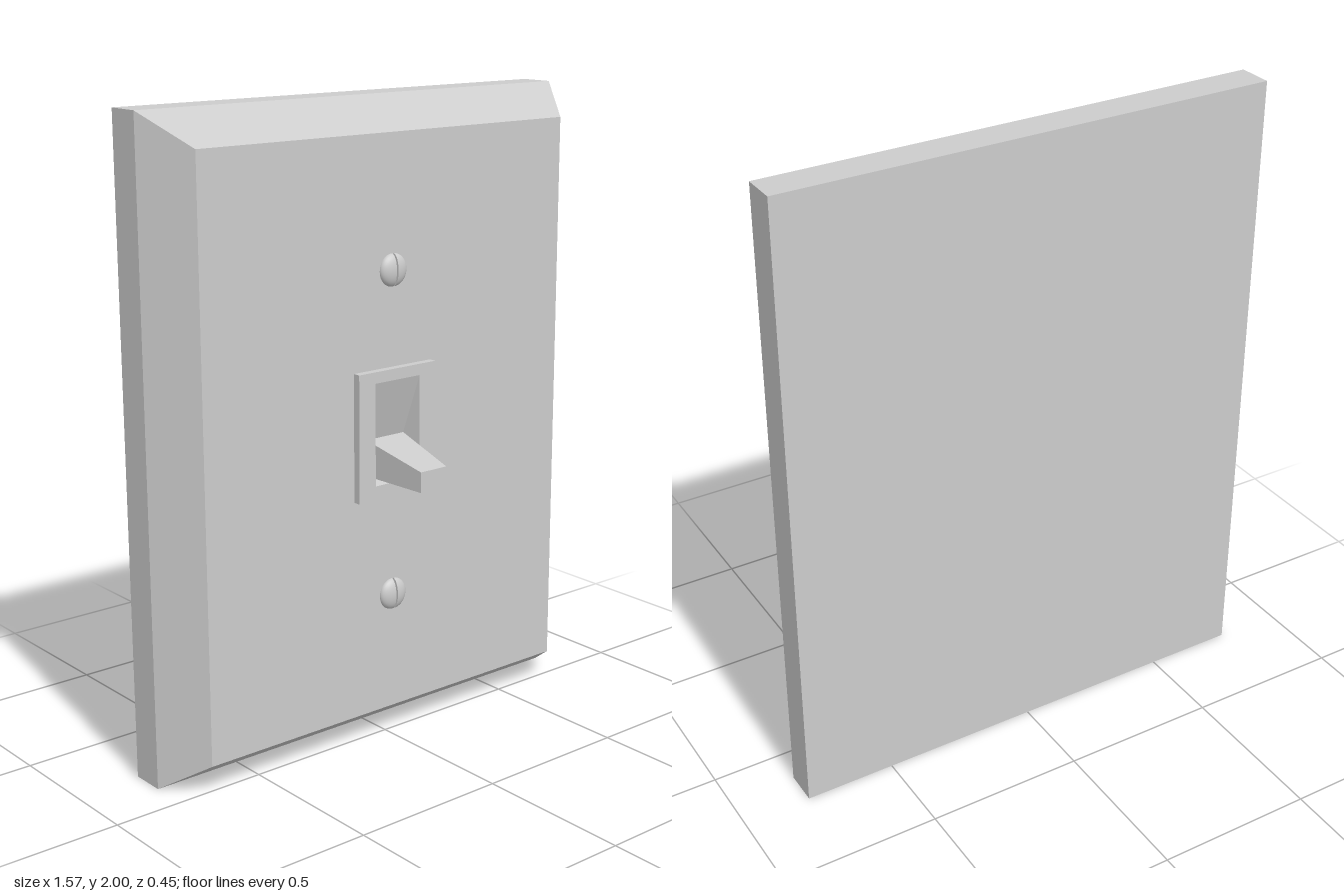
import * as THREE from 'three';
import { mergeGeometries } from 'three/addons/utils/BufferGeometryUtils.js';

// Corners of a rectangle, counter-clockwise seen from the front
function ring([halfWidth, bottom, top, z]) {
  return [[-halfWidth, bottom, z], [halfWidth, bottom, z], [halfWidth, top, z], [-halfWidth, top, z]];
}

// Flat-faced skin through rectangles [halfWidth, bottom, top, z]
function loft(sections, capBack, capFront) {
  const rings = sections.map(ring);
  const pos = [];
  const quad = (a, b, c, d) => pos.push(...a, ...b, ...c, ...a, ...c, ...d);
  for (let k = 0; k < rings.length - 1; k++) {
    const a = rings[k], b = rings[k + 1];
    for (let i = 0; i < 4; i++) {
      const j = (i + 1) % 4;
      quad(a[i], a[j], b[j], b[i]);
    }
  }
  if (capBack) quad(...[...rings[0]].reverse());
  if (capFront) quad(...rings[rings.length - 1]);
  const geometry = new THREE.BufferGeometry();
  geometry.setAttribute('position', new THREE.Float32BufferAttribute(pos, 3));
  geometry.computeVertexNormals();
  return geometry;
}

// One half of a domed screw head, with a flat wall along the slot
function halfScrewGeometry(radius, height, slot) {
  const dome = new THREE.SphereGeometry(radius, 16, 8, Math.PI / 2, Math.PI, 0, Math.PI / 2);
  dome.rotateX(Math.PI / 2);
  const wall = new THREE.CircleGeometry(radius, 16, 0, Math.PI);
  wall.rotateX(Math.PI / 2).rotateZ(-Math.PI / 2);
  const half = mergeGeometries([dome, wall]);
  half.scale(1 - slot / radius, 1, height / radius);
  half.translate(slot, 0, 0);
  return half;
}

export function createModel() {
  const model = new THREE.Group();
  model.name = 'lightSwitch';
  const plastic = new THREE.MeshStandardMaterial({ color: 0xcccccc });
  plastic.name = 'light grey plastic';

  const add = (name, geometry, parent = model) => {
    const mesh = new THREE.Mesh(geometry, plastic);
    mesh.name = name;
    parent.add(mesh);
    return mesh;
  };

  // Bevelled wall plate, open where the switch sits
  add('wallPlate', loft([
    [0.787, 0, 2, -0.225],
    [0.787, 0, 2, -0.115],
    [0.692, 0.098, 1.902, 0.035],
    [0.15, 0.8, 1.2, 0.035],
  ], true, false));

  // Raised frame with a funnel-shaped recess
  add('switchFrame', loft([
    [0.15, 0.8, 1.2, 0.035],
    [0.15, 0.8, 1.2, 0.06],
    [0.087, 0.845, 1.165, 0.06],
    [0.073, 0.861, 0.975, 0],
  ], false, false));

  // Tapered toggle lever rising from the bottom of the recess
  add('toggleLever', loft([
    [0.073, 0.861, 0.975, 0],
    [0.05, 0.856, 0.92, 0.225],
  ], false, true));

  // Slotted screws above and below the switch
  const halfScrew = halfScrewGeometry(0.05, 0.024, 0.003);
  for (const [name, y] of [['upperScrew', 1.495], ['lowerScrew', 0.475]]) {
    const screw = new THREE.Group();
    screw.name = name;
    screw.position.set(0, y, 0.035);
    add('screwHalfLeft', halfScrew, screw);
    add('screwHalfRight', halfScrew, screw).rotation.z = Math.PI;
    model.add(screw);
  }

  return model;
}
